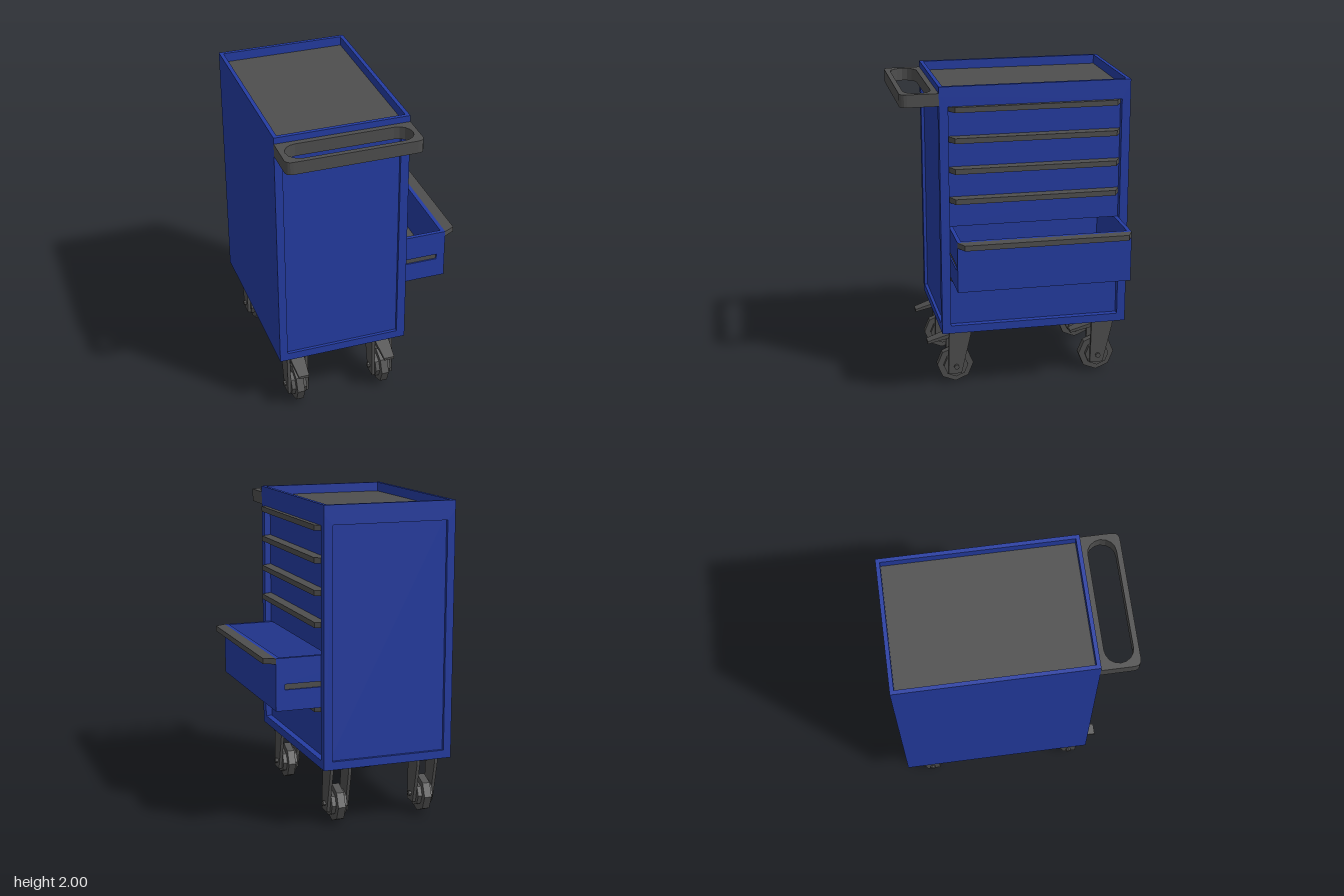
import * as THREE from 'three';

const blue = new THREE.MeshStandardMaterial({ color: 0x243ca2 });
blue.name = 'cabinet blue';
const gray = new THREE.MeshStandardMaterial({ color: 0x4e4e4e });
gray.name = 'dark gray';

function add(parent, name, geometry, material) {
  const mesh = new THREE.Mesh(geometry, material);
  mesh.name = name;
  parent.add(mesh);
  return mesh;
}

// Box given by its extents on each axis
function box(parent, name, material, x0, x1, y0, y1, z0, z1) {
  const g = new THREE.BoxGeometry(x1 - x0, y1 - y0, z1 - z0);
  g.translate((x0 + x1) / 2, (y0 + y1) / 2, (z0 + z1) / 2);
  return add(parent, name, g, material);
}

const polygon = pts => new THREE.Shape(pts.map(p => new THREE.Vector2(...p)));
const rect = (a0, a1, b0, b1) => polygon([[a0, b0], [a1, b0], [a1, b1], [a0, b1]]);
const extrude = (shape, depth) =>
  new THREE.ExtrudeGeometry(shape, { depth, bevelEnabled: false, curveSegments: 4 });

function ring(outer, inner, depth) {
  const s = rect(...outer);
  s.holes.push(rect(...inner));
  return extrude(s, depth);
}

// Shape drawn in (z, y), extruded along x and centred on x = 0
const sideways = (shape, depth) =>
  extrude(shape, depth).translate(0, 0, -depth / 2).rotateY(-Math.PI / 2);
// Shape drawn in (x, -z), extruded upwards from y = 0
const upwards = (shape, depth) => extrude(shape, depth).rotateX(-Math.PI / 2);

const X0 = -0.6, X1 = 0.245, Y0 = 0.382, Y1 = 1.94, Z0 = -0.727, Z1 = 0.488;
const DZ0 = -0.672, DZ1 = 0.431, FRONT = 0.205, OPEN = 0.325;

function buildCabinet() {
  const g = new THREE.Group();
  g.name = 'cabinet';
  box(g, 'plainSide', blue, X0, -0.56, Y0, Y1, Z0 + 0.02, Z1 - 0.02);
  box(g, 'bottomPlate', blue, -0.56, FRONT, Y0, 0.434, Z0 + 0.02, Z1 - 0.02);
  box(g, 'frontPanel', blue, -0.56, FRONT, 0.434, Y1, DZ1 + 0.003, Z1 - 0.02);
  box(g, 'backPanel', blue, -0.56, FRONT, 0.434, Y1, Z0 + 0.02, DZ0 - 0.003);
  // Raised frames around the recessed panels
  const end = [[X0, X1, Y0, Y1], [-0.55, 0.19, 0.434, 1.88], 0.02];
  add(g, 'frontFrame', ring(...end), blue).position.z = Z1 - 0.02;
  add(g, 'backFrame', ring(...end), blue).position.z = Z0;
  const side = ring([Z0 + 0.02, Z1 - 0.02, Y0, Y1], [DZ0, DZ1, 0.434, 1.875], X1 - FRONT);
  add(g, 'drawerFrame', side.rotateY(-Math.PI / 2), blue).position.x = X1;
  // Tray top
  const rim = ring([X0, X1, -Z1, -Z0], [X0 + 0.025, X1 - 0.025, -Z1 + 0.025, -Z0 - 0.025], 0.06);
  add(g, 'topRim', rim.rotateX(-Math.PI / 2), blue).position.y = Y1;
  box(g, 'topMat', gray, X0 + 0.022, X1 - 0.022, 1.876, Y1 + 0.001, Z0 + 0.022, Z1 - 0.022);
  return g;
}

// Pull rail with chamfered ends along the top of a drawer
function addPull(parent, top) {
  const s = polygon([[FRONT, -DZ1], [FRONT + 0.07, -DZ1 + 0.036],
    [FRONT + 0.07, -DZ0 - 0.036], [FRONT, -DZ0]]);
  add(parent, 'drawerPull', upwards(s, 0.034), gray).position.y = top - 0.034;
}

function buildOpenDrawer(bottom, top) {
  const g = new THREE.Group();
  g.name = 'openDrawer';
  const back = -0.55, t = 0.025, r0 = 0.897, r1 = 0.932, slot = 0.15;
  box(g, 'drawerFront', blue, FRONT - t, FRONT, bottom, top, DZ0, DZ1);
  box(g, 'drawerBack', blue, back, back + t, bottom, top, DZ0 + t, DZ1 - t);
  box(g, 'drawerBase', blue, back + t, FRONT - t, bottom, bottom + 0.02, DZ0 + t, DZ1 - t);
  box(g, 'drawerMat', gray, back + t, FRONT - t, bottom + 0.02, bottom + 0.028, DZ0 + t, DZ1 - t);
  for (const [a, b, inner, outer] of [
    [DZ0, DZ0 + t, DZ0 + t, DZ0 + 0.01], [DZ1 - t, DZ1, DZ1 - t, DZ1 - 0.01]]) {
    // Side wall with a groove for the runner
    box(g, 'drawerSideLower', blue, back, FRONT - t, bottom, r0, a, b);
    box(g, 'drawerSideUpper', blue, back, FRONT - t, r1, top, a, b);
    box(g, 'drawerSideEnd', blue, slot, FRONT - t, r0, r1, a, b);
    const mid = (inner + outer) / 2;
    box(g, 'drawerSideInner', blue, back, slot, r0, r1, Math.min(inner, mid), Math.max(inner, mid));
    box(g, 'runner', gray, back, slot, r0, r1, Math.min(mid, outer), Math.max(mid, outer));
  }
  addPull(g, top);
  g.position.x = OPEN;
  return g;
}

function buildPushHandle() {
  const s = new THREE.Shape();
  const a = -Z1, b = -0.727, c = 0.045;
  s.moveTo(X0, a);
  s.lineTo(X0, b + c);
  s.quadraticCurveTo(X0, b, X0 + c, b);
  s.lineTo(X1 - c, b);
  s.quadraticCurveTo(X1, b, X1, b + c);
  s.lineTo(X1, a);
  s.closePath();
  // Long slot with rounded ends
  const h = new THREE.Path(), r = 0.086, m = -0.609;
  h.absarc(X1 - 0.032 - r, m, r, -Math.PI / 2, Math.PI / 2, false);
  h.absarc(X0 + 0.032 + r, m, r, Math.PI / 2, Math.PI * 1.5, false);
  h.closePath();
  s.holes.push(h);
  return upwards(s, 0.08).translate(0, 1.88, 0);
}

// Caster with its axle at z = 0
function buildCaster() {
  const g = new THREE.Group();
  g.name = 'caster';
  const cyl = (name, r, w) => {
    const c = new THREE.CylinderGeometry(r, r, w, 8).toNonIndexed();
    c.computeVertexNormals();
    add(g, name, c.rotateZ(Math.PI / 2), gray).position.y = 0.12;
  };
  cyl('tyre', 0.12, 0.048);
  cyl('hub', 0.08, 0.1);
  cyl('axle', 0.017, 0.17);
  const plate = polygon([[0.045, 0.382], [-0.098, 0.382], [-0.096, 0.335], [-0.034, 0.07], [0.052, 0.07]]);
  for (const side of [-1, 1]) {
    add(g, 'forkPlate', sideways(plate, 0.02), gray).position.x = side * 0.06;
  }
  box(g, 'mountPlate', gray, -0.05, 0.05, 0.362, 0.382, -0.098, 0.045);
  // Brake pedal, narrowing towards its tip
  const pedal = sideways(polygon([[0, 0.355], [0, 0.325], [0.182, 0.278], [0.182, 0.295]]), 0.1);
  const p = pedal.attributes.position;
  for (let i = 0; i < p.count; i++) if (p.getZ(i) > 0.1) p.setX(i, p.getX(i) * 0.68);
  pedal.computeVertexNormals();
  add(g, 'brakePedal', pedal, gray);
  return g;
}

export function createModel() {
  const model = new THREE.Group();
  model.name = 'toolCabinet';
  model.add(buildCabinet());

  // Drawer stack, from the top; the fifth drawer is pulled out
  const tops = [1.875, 1.68, 1.484, 1.289, 1.093, 0.768, 0.434];
  for (let i = 0; i < 6; i++) {
    if (i === 4) {
      model.add(buildOpenDrawer(tops[5], tops[4]));
      continue;
    }
    const g = new THREE.Group();
    g.name = 'closedDrawer';
    box(g, 'drawerBody', blue, -0.55, FRONT, tops[i + 1], tops[i], DZ0, DZ1);
    addPull(g, tops[i]);
    model.add(g);
  }

  add(model, 'pushHandle', buildPushHandle(), gray);

  for (const x of [-0.47, 0.111]) {
    for (const z of [0.389, -0.566]) {
      const caster = buildCaster();
      caster.position.set(x, 0, z);
      model.add(caster);
    }
  }
  return model;
}
